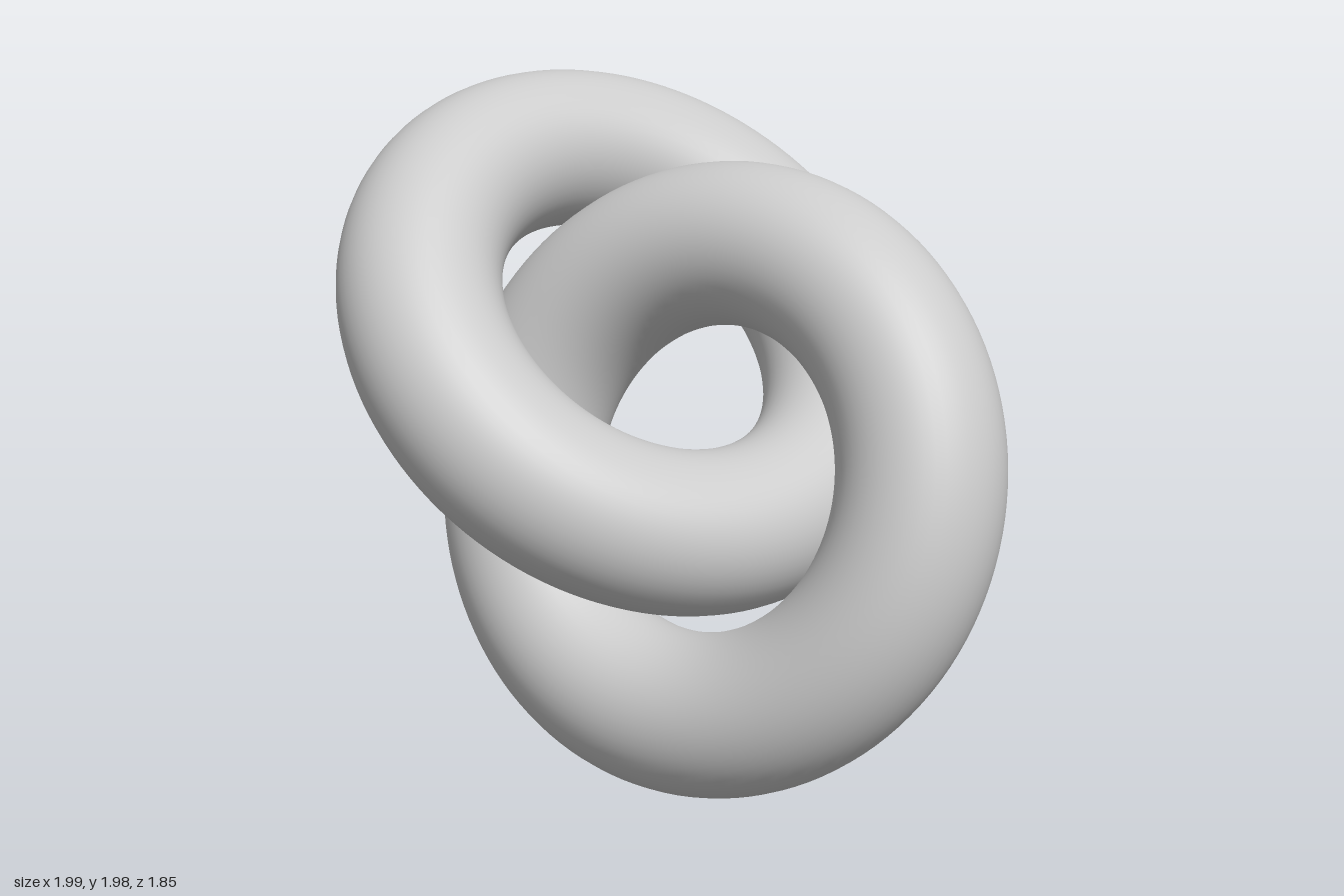
import * as THREE from 'three';

const RING_RADIUS = 0.688;
const TUBE_RADIUS = 0.239;

export function createModel() {
  const group = new THREE.Group();
  group.name = 'linkedRings';
  const material = new THREE.MeshStandardMaterial({ color: 0xcccccc });
  const geometry = new THREE.TorusGeometry(RING_RADIUS, TUBE_RADIUS, 48, 128);

  // Places a ring with its axis tilted away from +z toward the (+x, +y) diagonal
  function addRing(name, x, y, tiltDegrees) {
    const tilt = THREE.MathUtils.degToRad(tiltDegrees);
    const side = Math.sin(tilt) * Math.SQRT1_2;
    const axis = new THREE.Vector3(side, side, Math.cos(tilt));
    const ring = new THREE.Mesh(geometry, material);
    ring.name = name;
    ring.position.set(x, y, 0);
    ring.quaternion.setFromUnitVectors(new THREE.Vector3(0, 0, 1), axis);
    group.add(ring);
  }

  // Two identical rings threaded through each other
  addRing('upperRing', -0.27, 1.26, 90);
  addRing('lowerRing', 0.1, 0.897, 25);

  return group;
}
